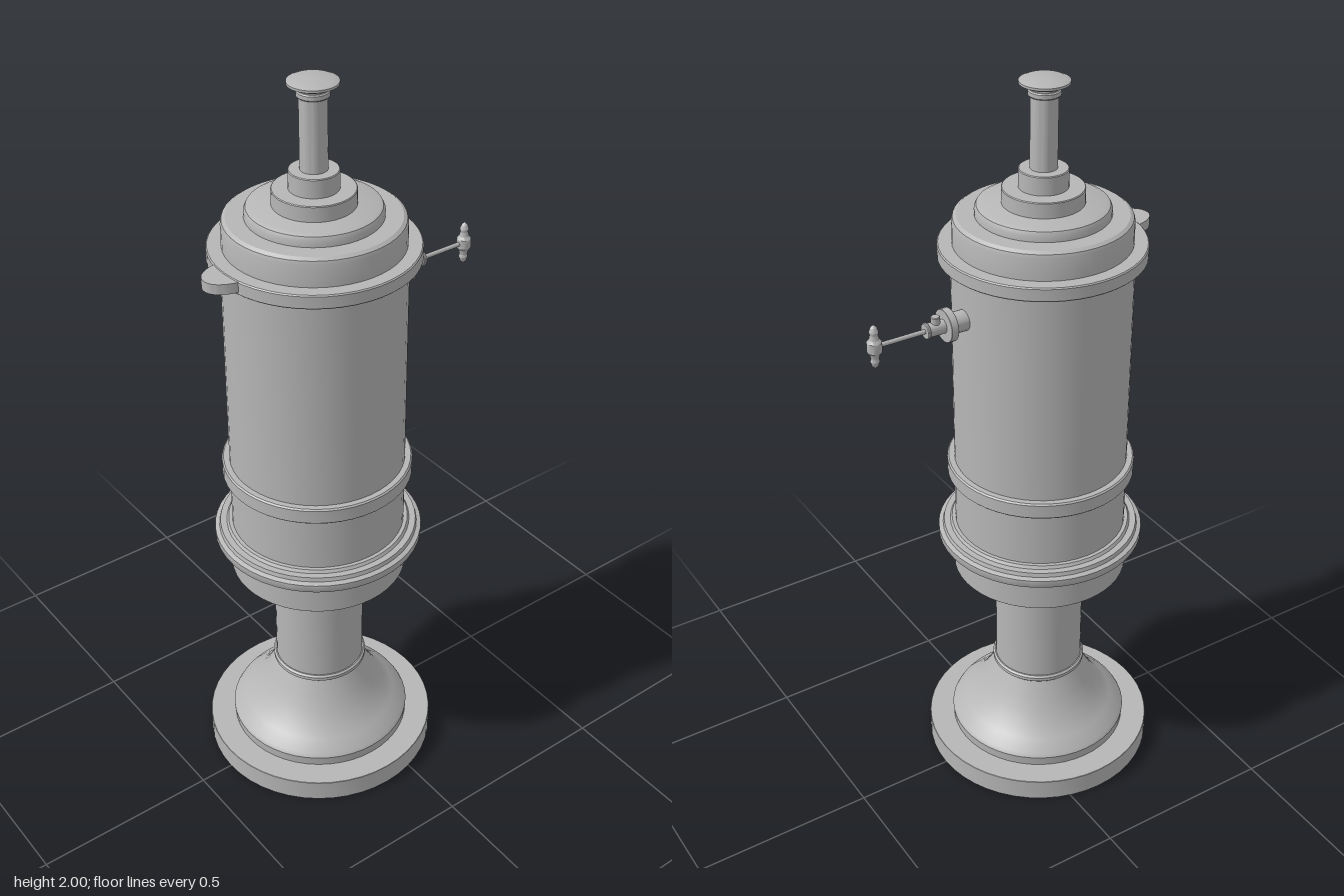
import * as THREE from 'three';
import { toCreasedNormals } from 'three/addons/utils/BufferGeometryUtils.js';

const metal = new THREE.MeshStandardMaterial({ color: 0xb6b6b6 });
metal.name = 'grey metal';

const AXIS_Z = 0.088; // the column stands a little forward of the tap
const TAP_Y = 1.43;

// Turned part from [radius, height] pairs, bottom to top
function turned(name, profile, segments = 48) {
  const points = profile.map(([r, y]) => new THREE.Vector2(r, y));
  const geometry = toCreasedNormals(new THREE.LatheGeometry(points, segments), 0.5);
  const mesh = new THREE.Mesh(geometry, metal);
  mesh.name = name;
  return mesh;
}

// Closed disc or cylinder with slightly bevelled rims
function disc(name, r, y0, y1, bevel = 0.003, segments = 48) {
  return turned(name, [[0, y0], [r - bevel, y0], [r, y0 + bevel],
    [r, y1 - bevel], [r - bevel, y1], [0, y1]], segments);
}

export function createModel() {
  const model = new THREE.Group();
  model.name = 'pedestalCylinder';

  const column = new THREE.Group();
  column.name = 'column';
  column.position.z = AXIS_Z;
  model.add(column);

  // Foot and pedestal
  column.add(
    disc('basePlate', 0.318, 0, 0.063, 0.001),
    turned('flaredFoot', [[0, 0.063], [0.248, 0.063], [0.25, 0.09], [0.244, 0.1],
      [0.212, 0.126], [0.185, 0.155], [0.163, 0.187], [0.146, 0.218], [0.133, 0.245],
      [0.122, 0.268], [0, 0.268]]),
    disc('lowerNeckRing', 0.13, 0.267, 0.287, 0.005),
    disc('pedestalShaft', 0.122, 0.28, 0.6, 0.001),
    disc('upperNeckRing', 0.13, 0.567, 0.588, 0.005),
    disc('supportDisc', 0.188, 0.6, 0.622, 0.001),
  );

  // Main vessel with its bands
  column.add(
    disc('lowerDrum', 0.236, 0.62, 0.725, 0.001),
    turned('lowerFlange', [[0, 0.72], [0.275, 0.72], [0.277, 0.724], [0.277, 0.742],
      [0.265, 0.746], [0.262, 0.757], [0.245, 0.757], [0.24, 0.765], [0, 0.765]]),
    disc('vesselBody', 0.23, 0.74, 1.56, 0.001),
    disc('middleBand', 0.249, 0.92, 0.965, 0.004),
    disc('upperFlange', 0.262, 1.55, 1.587, 0.003),
  );

  // Pouring lip on the front of the upper flange
  const lip = new THREE.Shape();
  lip.moveTo(-0.052, -0.22);
  lip.lineTo(-0.052, -0.257);
  lip.bezierCurveTo(-0.046, -0.285, -0.03, -0.317, 0, -0.317);
  lip.bezierCurveTo(0.03, -0.317, 0.046, -0.285, 0.052, -0.257);
  lip.lineTo(0.052, -0.22);
  lip.closePath();
  const lipGeometry = new THREE.ExtrudeGeometry(lip, { depth: 0.027, bevelEnabled: false, curveSegments: 10 });
  lipGeometry.rotateX(-Math.PI / 2);
  const lipMesh = new THREE.Mesh(toCreasedNormals(lipGeometry, 0.5), metal);
  lipMesh.name = 'frontLip';
  lipMesh.position.y = 1.558;
  column.add(lipMesh);

  // Stepped cap and plunger
  column.add(
    turned('cap', [[0, 1.58], [0.225, 1.58], [0.225, 1.645], [0.222, 1.654], [0.213, 1.66], [0, 1.66]]),
    turned('capStep', [[0, 1.655], [0.169, 1.655], [0.169, 1.675], [0.164, 1.685], [0.153, 1.69], [0, 1.69]]),
    disc('capCollar', 0.103, 1.685, 1.73, 0.002),
    disc('stemCollar', 0.062, 1.725, 1.778, 0.002),
    disc('stem', 0.034, 1.77, 1.99, 0.001),
    disc('stemRing', 0.04, 1.958, 1.974, 0.003),
    turned('topKnob', [[0, 1.983], [0.05, 1.983], [0.062, 1.989], [0.062, 1.995], [0.05, 2], [0, 2]]),
  );

  // Tap at the back; its turned parts run along -z
  const tap = new THREE.Group();
  tap.name = 'tap';
  tap.position.y = TAP_Y;
  const barrel = new THREE.Group();
  barrel.name = 'tapBarrel';
  barrel.rotation.x = -Math.PI / 2;
  barrel.add(
    disc('tapPipe', 0.027, 0.12, 0.185, 0.001, 24),
    disc('tapWasher', 0.043, 0.18, 0.2, 0.001, 24),
    disc('tapBody', 0.018, 0.195, 0.25, 0.001, 24),
    disc('tapEndRing', 0.021, 0.244, 0.252, 0.002, 24),
    disc('tapRod', 0.006, 0.245, 0.388, 0.001, 12),
  );
  tap.add(barrel);

  // Small screw on top of the tap body
  const screw = disc('tapScrew', 0.012, 0, 0.033, 0.002, 20);
  screw.position.z = -0.222;
  tap.add(screw);

  // Upright turned handle at the end of the rod
  const half = [[0.019, 0], [0.019, 0.013], [0.013, 0.02], [0.01, 0.032], [0.012, 0.04], [0.008, 0.052], [0, 0.06]];
  const profile = [...half.map(([r, y]) => [r, -y]).reverse(), ...half.slice(1)];
  const handle = turned('tapHandle', profile, 20);
  handle.position.z = -0.39;
  tap.add(handle);
  model.add(tap);

  return model;
}
